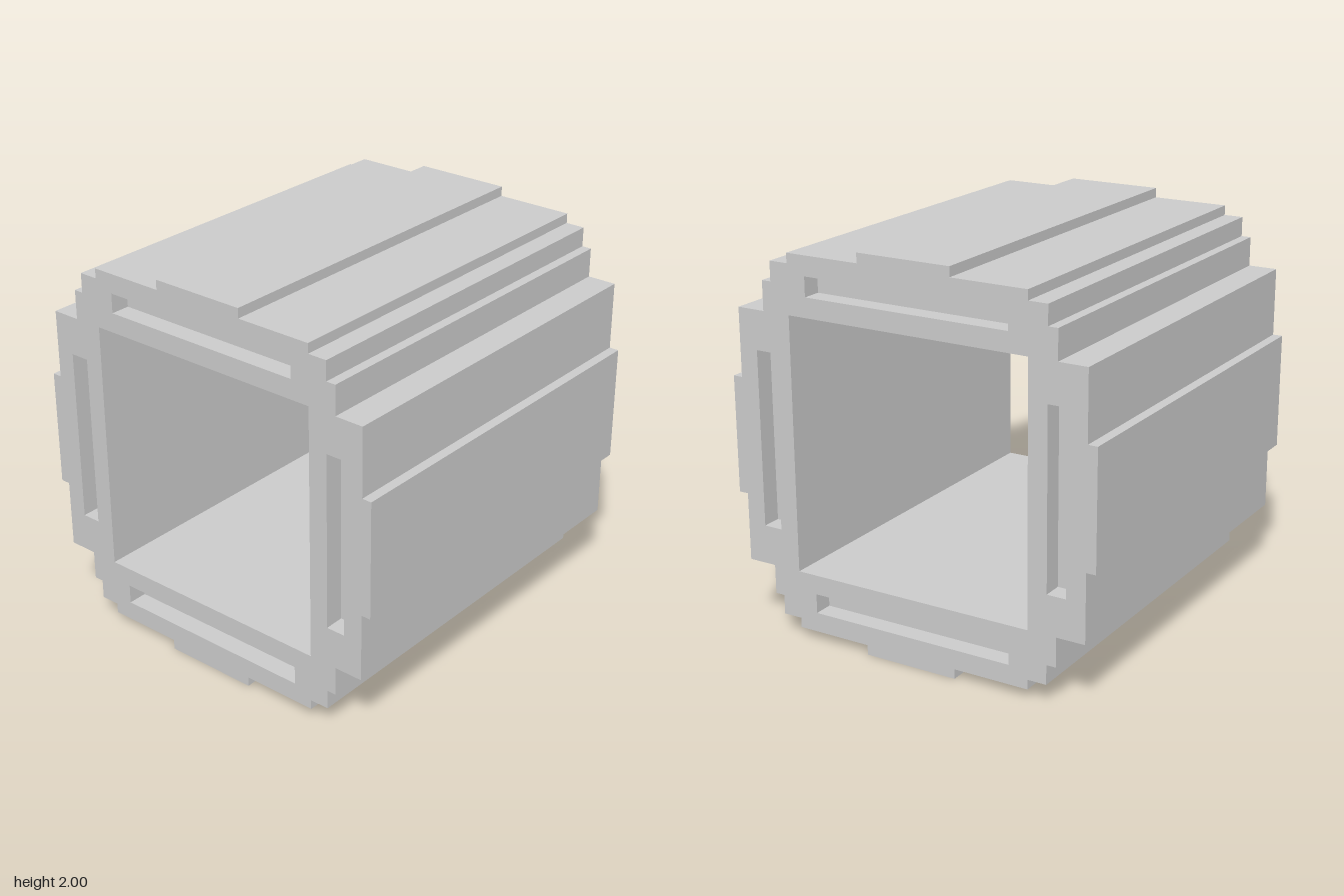
import * as THREE from 'three';

const LENGTH = 2, SLOT_DEPTH = 0.1;

// One quarter of the stepped outline, from the top round to the side
const QUARTER = [
  [0.25, 1], [0.25, 0.95], [0.65, 0.95], [0.65, 0.9], [0.75, 0.9], [0.75, 0.8],
  [0.8, 0.8], [0.8, 0.65], [0.95, 0.65], [0.95, 0.3], [1, 0.3],
];

// Slot in each wall: name, centre x, centre y, width, height
const SLOTS = [
  ['topSlotFloor', 0, 0.8, 1.1, 0.1],
  ['bottomSlotFloor', 0, -0.8, 1.1, 0.1],
  ['leftSlotFloor', 0.8, 0, 0.1, 0.9],
  ['rightSlotFloor', -0.8, 0, 0.1, 0.9],
];

const mirror = (points, sx, sy) => points.map(([x, y]) => new THREE.Vector2(x * sx, y * sy));

// Counter-clockwise, opposite to the outline, so the hole walls face inwards
function rectangle(cx, cy, w, h) {
  return new THREE.Path([[-1, -1], [1, -1], [1, 1], [-1, 1]].map(
    ([x, y]) => new THREE.Vector2(cx + x * w / 2, cy + y * h / 2)));
}

export function createModel() {
  const group = new THREE.Group();
  group.name = 'steppedSquareTube';
  const material = new THREE.MeshStandardMaterial({ color: 0xcccccc, flatShading: true });

  // Tube with a square bore and a slot in each wall
  const reversed = [...QUARTER].reverse();
  const outline = new THREE.Shape([
    ...mirror(QUARTER, 1, 1), ...mirror(reversed, 1, -1),
    ...mirror(QUARTER, -1, -1), ...mirror(reversed, -1, 1),
  ]);
  outline.holes.push(rectangle(0, 0, 1.3, 1.3));
  for (const [, x, y, w, h] of SLOTS) outline.holes.push(rectangle(x, y, w, h));
  const geometry = new THREE.ExtrudeGeometry(outline, { depth: LENGTH, bevelEnabled: false });
  geometry.translate(0, 0, -LENGTH / 2);
  const body = new THREE.Mesh(geometry, material);
  body.name = 'tubeBody';
  body.position.y = 1;
  group.add(body);

  // Fillers close the slots, leaving a shallow recess at both ends
  for (const [name, x, y, w, h] of SLOTS) {
    const filler = new THREE.Mesh(new THREE.BoxGeometry(w, h, LENGTH - 2 * SLOT_DEPTH), material);
    filler.name = name;
    filler.position.set(x, y + 1, 0);
    group.add(filler);
  }
  return group;
}
